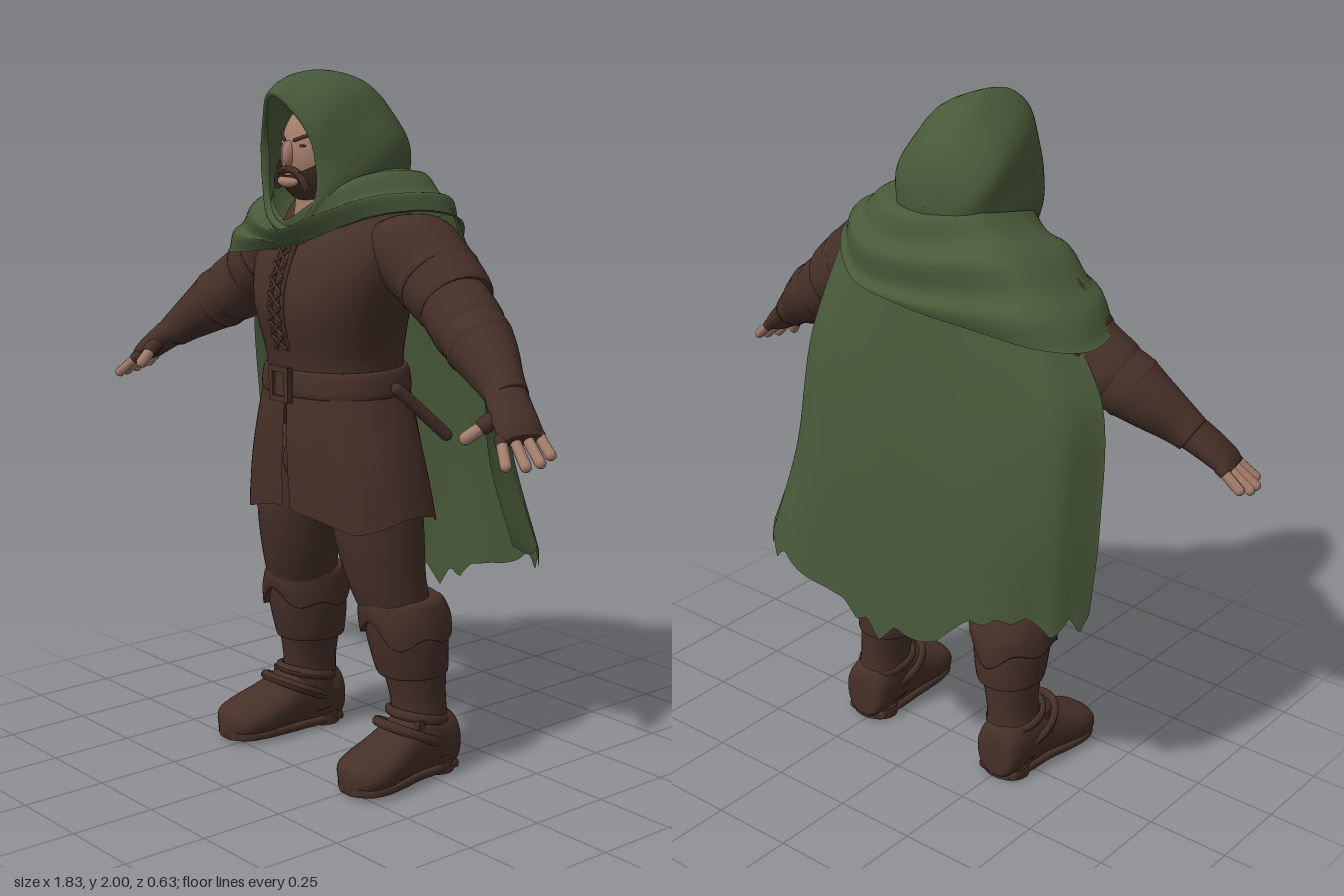
import * as THREE from 'three';

const V = (x, y, z) => new THREE.Vector3(x, y, z);
const mat = (name, color, side = THREE.DoubleSide) => {
  const m = new THREE.MeshStandardMaterial({ color, side });
  m.name = name;
  return m;
};

// Smooth interpolation through rows of numbers
const cr = (a, b, c, d, t) => 0.5 * (2 * b + (c - a) * t + (2 * a - 5 * b + 4 * c - d) * t * t + (3 * b - a - 3 * c + d) * t * t * t);
function sample(rows, t) {
  const n = rows.length, f = t * (n - 1), i = Math.min(Math.floor(f), n - 2);
  const at = k => rows[Math.max(0, Math.min(n - 1, k))];
  return rows[i].map((_, k) => cr(at(i - 1)[k], at(i)[k], at(i + 1)[k], at(i + 2)[k], f - i));
}

// Surface from a function of u and v
function grid(nu, nv, wrap, fn) {
  const pos = [], idx = [], w = wrap ? nu : nu + 1;
  for (let j = 0; j <= nv; j++) for (let i = 0; i < w; i++) pos.push(...fn(i / nu, j / nv).toArray());
  for (let j = 0; j < nv; j++) for (let i = 0; i < nu; i++) {
    const a = j * w + i, b = j * w + (i + 1) % w;
    idx.push(a, b, a + w, b, b + w, a + w);
  }
  const g = new THREE.BufferGeometry();
  g.setAttribute('position', new THREE.Float32BufferAttribute(pos, 3));
  g.setIndex(idx);
  g.computeVertexNormals();
  return g;
}

// Rounded sections [x, y, z, radiusU, radiusV] stacked along an axis
function loft(rows, { axis = V(0, 1, 0), U = V(1, 0, 0), n = 32, m = 24, p = 2, gap = 0, caps = true, post } = {}) {
  const W = U.clone().cross(axis);
  const pw = c => Math.sign(c) * Math.abs(c) ** (2 / p);
  const first = caps ? -1 : 0, total = m + (caps ? 2 : 0);
  return grid(n, total, !gap, (u, v) => {
    const k = Math.round(v * total) + first, t = Math.max(0, Math.min(1, k / m));
    const g = gap * (1 - t), a = g + u * 2 * (Math.PI - g);
    const [x, y, z, ru, rv] = sample(rows, t), s = k < 0 || k > m ? 0.001 : 1;
    const q = V(x, y, z).addScaledVector(U, pw(Math.sin(a)) * ru * s).addScaledVector(W, pw(Math.cos(a)) * rv * s);
    if (post) post(q, a, t);
    return q;
  });
}

// Round-ended rod between two points
function rod(p, q, r) {
  const d = q.clone().sub(p), g = new THREE.CapsuleGeometry(r, d.length(), 4, 10);
  g.applyQuaternion(new THREE.Quaternion().setFromUnitVectors(V(0, 1, 0), d.clone().normalize()));
  return g.translate(...p.clone().add(q).multiplyScalar(0.5).toArray());
}
const ball = (x, y, z, a, b, c) => new THREE.SphereGeometry(1, 28, 20).scale(a, b, c).translate(x, y, z);

function mirror(geo) {
  const g = geo.clone().scale(-1, 1, 1), ix = g.index.array;
  for (let i = 0; i < ix.length; i += 3) [ix[i], ix[i + 1]] = [ix[i + 1], ix[i]];
  g.computeVertexNormals();
  return g;
}

export function createModel() {
  const model = new THREE.Group();
  model.name = 'hoodedRanger';
  const brown = mat('brown leather', 0x463028), green = mat('green cloth', 0x485939);
  const skin = mat('skin', 0xa37d6b), hair = mat('dark hair', 0x463027);
  const add = (name, geo, m) => {
    const mesh = new THREE.Mesh(geo, m);
    mesh.name = name;
    model.add(mesh);
  };
  const pair = (name, geo, m) => {
    add(name + 'Left', geo, m);
    add(name + 'Right', mirror(geo), m);
  };

  // Tunic, split skirt and belt
  add('tunic', loft([[0, 1.1, .085, .215, .175], [0, 1.2, .09, .2, .18], [0, 1.35, .1, .235, .2], [0, 1.47, .085, .265, .19],
    [0, 1.56, .055, .265, .16], [0, 1.63, .04, .19, .11], [0, 1.68, .06, .08, .07]], { n: 48, p: 2.2 }), brown);
  add('tunicSkirt', loft([[0, .76, .07, .325, .2], [0, .9, .08, .295, .195], [0, 1.04, .085, .25, .187], [0, 1.14, .085, .21, .18]],
    { n: 64, p: 2.4, gap: .035, caps: false, post: (q, a, t) => { q.y += (1 - t) * .02 * Math.cos(4 * a); q.z += (1 - t) * .008 * Math.sin(9 * a); } }), brown);
  add('pelvis', ball(0, .9, .07, .22, .13, .15), brown);
  add('belt', loft([[0, 1.105, .085, .226, .188], [0, 1.12, .085, .228, .192], [0, 1.165, .085, .218, .19], [0, 1.18, .085, .208, .184]],
    { n: 48, p: 2.2, m: 9 }), brown);
  const frame = new THREE.Shape([[-.042, -.05], [.042, -.05], [.042, .05], [-.042, .05]].map(c => new THREE.Vector2(...c)));
  frame.holes.push(new THREE.Path([[-.026, -.034], [-.026, .034], [.026, .034], [.026, -.034]].map(c => new THREE.Vector2(...c))));
  add('beltBuckle', new THREE.ExtrudeGeometry(frame, { depth: .018, bevelEnabled: false }).translate(0, 1.14, .278), brown);
  add('bucklePlate', new THREE.BoxGeometry(.06, .075, .012).translate(0, 1.14, .28), brown);
  add('beltKnife', rod(V(.235, 1.13, .06), V(.285, .99, -.08), .018), brown);

  // Chest lacing
  const chestZ = y => .304 - 1.6 * (y - 1.36) ** 2;
  pair('placket', new THREE.TubeGeometry(new THREE.CatmullRomCurve3(
    [1.2, 1.3, 1.4, 1.53].map(y => V(.024, y, chestZ(y) - .006))), 16, .008, 8), brown);
  for (let i = 0; i < 7; i++) {
    const y = 1.24 + i * .04;
    pair('lace' + i, rod(V(-.024, y, chestZ(y) + .004), V(.024, y + .035, chestZ(y + .035) + .004), .005), brown);
  }

  // Arms: sleeve, flared elbow cuff, bracer
  const A = V(.8, -.56, .2).normalize(), AU = V(.2, 0, -.8).normalize(), along = { axis: A, U: AU, n: 28 };
  pair('upperSleeve', loft([[.2, 1.54, .04, .1, .09], [.27, 1.515, .035, .122, .125], [.36, 1.452, .03, .118, .12], [.43, 1.4, .033, .113, .11], [.45, 1.385, .036, .106, .102]], along), brown);
  pair('elbowCuff', loft([[.38, 1.432, .03, .1, .1], [.47, 1.367, .045, .1, .1], [.52, 1.33, .055, .1, .1], [.54, 1.315, .06, .093, .092]], along), brown);
  pair('bracer', loft([[.49, 1.35, .05, .088, .085], [.56, 1.307, .065, .096, .095], [.63, 1.262, .085, .082, .08], [.7, 1.215, .11, .062, .062], [.74, 1.185, .125, .058, .052]], along), brown);
  [[.37, 1.444, .03, .121], [.575, 1.297, .07, .096]].forEach(([x, y, z, r], i) =>
    pair('armBand' + i, loft([-1, 0, 1].map(k => [x + A.x * k * .016, y + A.y * k * .016, z + A.z * k * .016, r - .006 * k * k, r - .006 * k * k]), { ...along, m: 6 }), brown));

  // Fingerless gloves and fingers
  pair('glove', loft([[.7, 1.215, .11, .056, .05], [.76, 1.17, .14, .062, .043], [.82, 1.122, .165, .065, .032], [.845, 1.102, .174, .055, .02]], along), brown);
  for (let i = 0; i < 4; i++) {
    const base = V(.835 - .008 * i, 1.115 - .003 * i, .118 + .034 * i);
    const tip = V([.893, .9, .892, .865][i], [1.065, 1.052, 1.047, 1.05][i], .125 + .043 * i);
    pair('finger' + i, rod(base, tip, .015), skin);
    pair('gloveFinger' + i, rod(base, base.clone().lerp(tip, .15), .018), brown);
  }
  pair('thumb', rod(V(.755, 1.14, .2), V(.728, 1.1, .262), .018), skin);
  pair('gloveThumb', rod(V(.76, 1.155, .17), V(.748, 1.13, .218), .023), brown);

  // Legs and boots
  pair('trouserLeg', loft([[.15, .95, .08, .13, .14], [.165, .8, .078, .132, .135], [.178, .7, .075, .126, .13], [.196, .58, .064, .112, .115], [.215, .48, .04, .1, .105], [.225, .4, .02, .09, .1]].reverse()), brown);
  pair('bootShaft', loft([[.262, .06, -.02, .078, .09], [.256, .14, -.015, .076, .087], [.25, .22, -.012, .072, .086], [.24, .32, -.003, .085, .098], [.228, .45, .02, .1, .11]]), brown);
  pair('bootCuff', loft([[.237, .3, -.004, .092, .1], [.234, .31, -.002, .1, .108], [.228, .4, .01, .112, .12], [.224, .48, .022, .11, .12]]), brown);
  pair('bootCuffFlap', loft([[.228, .42, .016, .128, .134], [.224, .47, .02, .126, .138], [.218, .52, .028, .115, .125], [.215, .53, .032, .1, .11]],
    { n: 48, post: (q, a, t) => { q.y += (1 - t) * (.035 * Math.cos(2 * a + .4) * Math.cos(a) + .018 * Math.cos(5 * a)); } }), brown);
  const foot = [[.262, .075, -.118, .045, .06], [.262, .09, -.1, .072, .085], [.264, .1, -.02, .08, .1], [.268, .097, .06, .083, .09],
    [.276, .08, .13, .092, .07], [.283, .066, .2, .096, .056], [.285, .058, .255, .08, .045], [.285, .05, .285, .036, .028]];
  const forward = { axis: V(0, 0, 1), p: 2.3 };
  pair('bootFoot', loft(foot, forward), brown);
  pair('bootSole', loft(foot.slice(1).map(([x, , z, w], i) => [x, .018 + .0012 * i, z, w * .93, .016]), { ...forward, p: 4 }), brown);
  pair('bootHeel', new THREE.CylinderGeometry(.074, .074, .035, 24).scale(1, 1, .8).translate(.262, .0185, -.053), brown);
  [[.175, .256, -.002, .078, .088, .25], [.13, .262, .035, .085, .11, .45]].forEach(([y, x, z, a, b, tilt], i) =>
    pair('bootStrap' + i, new THREE.TorusGeometry(1, .12, 8, 32).rotateX(Math.PI / 2).scale(a, .12, b).rotateX(-tilt).translate(x, y, z), brown));
  pair('bootBuckle', new THREE.BoxGeometry(.03, .035, .02).translate(.322, .165, .05), brown);

  // Head, face and beard
  add('head', ball(0, 1.775, .12, .114, .155, .134), skin);
  add('neck', new THREE.CylinderGeometry(.07, .085, .14, 24).translate(0, 1.62, .135), skin);
  add('nose', ball(0, 1.775, .25, .017, .036, .022), skin);
  pair('brow', rod(V(.022, 1.812, .249), V(.07, 1.832, .219), .005), hair);
  pair('eye', ball(.043, 1.798, .239, .015, .004, .006), hair);
  const beard = new THREE.SphereGeometry(1, 32, 14, 0, Math.PI * 2, Math.PI * .57, Math.PI * .43).scale(.118, .115, .142).translate(0, 1.742, .13);
  const bp = beard.attributes.position;
  for (let i = 0; i < bp.count; i++) {
    const lift = Math.max(0, (bp.getY(i) - 1.63) / .08);
    bp.setY(i, bp.getY(i) + lift * 4 * bp.getX(i) ** 2);
  }
  beard.computeVertexNormals();
  add('beard', beard, hair);
  pair('moustache', new THREE.TubeGeometry(new THREE.CatmullRomCurve3([V(0, 1.733, .254), V(.03, 1.728, .252), V(.055, 1.705, .248), V(.064, 1.68, .24)]), 12, .01, 8), hair);
  add('mouth', ball(0, 1.7, .256, .042, .017, .016), skin);

  // Hood, from the pointed opening to the back of the head
  add('hood', loft([[0, 1.757, .238, .104, .175], [0, 1.755, .252, .122, .192], [0, 1.762, .21, .155, .222], [0, 1.77, .12, .176, .23],
    [0, 1.77, .02, .177, .213], [0, 1.748, -.055, .152, .175], [0, 1.735, -.1, .1, .11], [0, 1.73, -.117, .001, .001]],
  { axis: V(0, 0, -1), n: 48, m: 32, caps: false, post: (q, a, t) => {
    const c = Math.cos(a), top = Math.max(0, c), low = Math.max(0, -c);
    q.x *= 1 - .35 * top * top * (1 - t) + .3 * low * (1 - t);
    q.z += (.022 * c + .048 * c * c) * (1 - t) ** 1.5;
    q.x += .006 * Math.sin(6 * a + 9 * t) * Math.sin(Math.PI * t);
  } }), green);

  // Mantle, pulled over the right shoulder
  const curve = (pts, closed) => new THREE.CatmullRomCurve3(pts.map(c => V(...c)), closed);
  const mantle = [
    [[0, 1.515, .25], [.14, 1.56, .225], [.25, 1.61, .155], [.32, 1.625, .03], [.315, 1.59, -.1], [.2, 1.5, -.19], [0, 1.47, -.21],
      [-.25, 1.46, -.2], [-.45, 1.45, -.17], [-.535, 1.44, -.07], [-.505, 1.46, .08], [-.36, 1.475, .185], [-.17, 1.5, .24]],
    [[0, 1.56, .285], [.14, 1.62, .255], [.24, 1.675, .16], [.285, 1.685, .02], [.265, 1.67, -.08], [.17, 1.62, -.16], [0, 1.6, -.18],
      [-.18, 1.61, -.17], [-.33, 1.61, -.13], [-.4, 1.585, -.03], [-.385, 1.575, .1], [-.265, 1.57, .2], [-.13, 1.56, .26]],
    [[0, 1.59, .25], [.09, 1.65, .235], [.16, 1.73, .15], [.165, 1.75, .04], [.145, 1.74, -.05], [.09, 1.73, -.09], [0, 1.72, -.1],
      [-.09, 1.72, -.09], [-.15, 1.72, -.05], [-.18, 1.71, .03], [-.185, 1.69, .13], [-.13, 1.65, .2], [-.06, 1.605, .24]],
  ].map(r => curve(r, true));
  add('mantle', grid(78, 24, true, (u, v) => {
    const q = V(...sample(mantle.map(c => c.getPoint(u).toArray()), v));
    const fold = .009 * Math.sin(v * 16 + Math.sin(u * Math.PI * 2) * 2.5);
    q.y += fold;
    q.z += fold * Math.cos(u * Math.PI * 2);
    return q;
  }), green);

  // Cape with hanging folds and a torn hem
  const cape = [
    [[-.42, 1.5, -.04], [-.33, 1.55, -.12], [-.15, 1.57, -.15], [0, 1.57, -.16], [.17, 1.59, -.15], [.28, 1.63, -.1], [.32, 1.63, -.06]],
    [[-.57, 1.28, -.06], [-.49, 1.26, -.17], [-.25, 1.26, -.2], [0, 1.26, -.21], [.2, 1.28, -.22], [.36, 1.3, -.19], [.385, 1.32, -.11]],
    [[-.6, .95, -.1], [-.5, .95, -.2], [-.25, .94, -.24], [0, .94, -.25], [.22, .95, -.27], [.4, .95, -.23], [.415, .95, -.12]],
    [[-.58, .67, -.11], [-.48, .66, -.19], [-.28, .61, -.25], [0, .51, -.29], [.25, .58, -.31], [.47, .67, -.28], [.48, .7, -.16]],
  ].map(r => curve(r, false));
  add('cape', grid(120, 32, false, (u, v) => {
    const q = V(...sample(cape.map(c => c.getPoint(u).toArray()), v));
    q.z += .007 * v * Math.sin(u * 30 + v * 2);
    const saw = (u * 11 + .3 * Math.sin(u * 23)) % 1;
    q.y -= v ** 8 * .07 * (1 - Math.abs(2 * Math.abs(saw) - 1)) * (.6 + .4 * Math.sin(u * 17));
    return q;
  }), green);
  return model;
}
